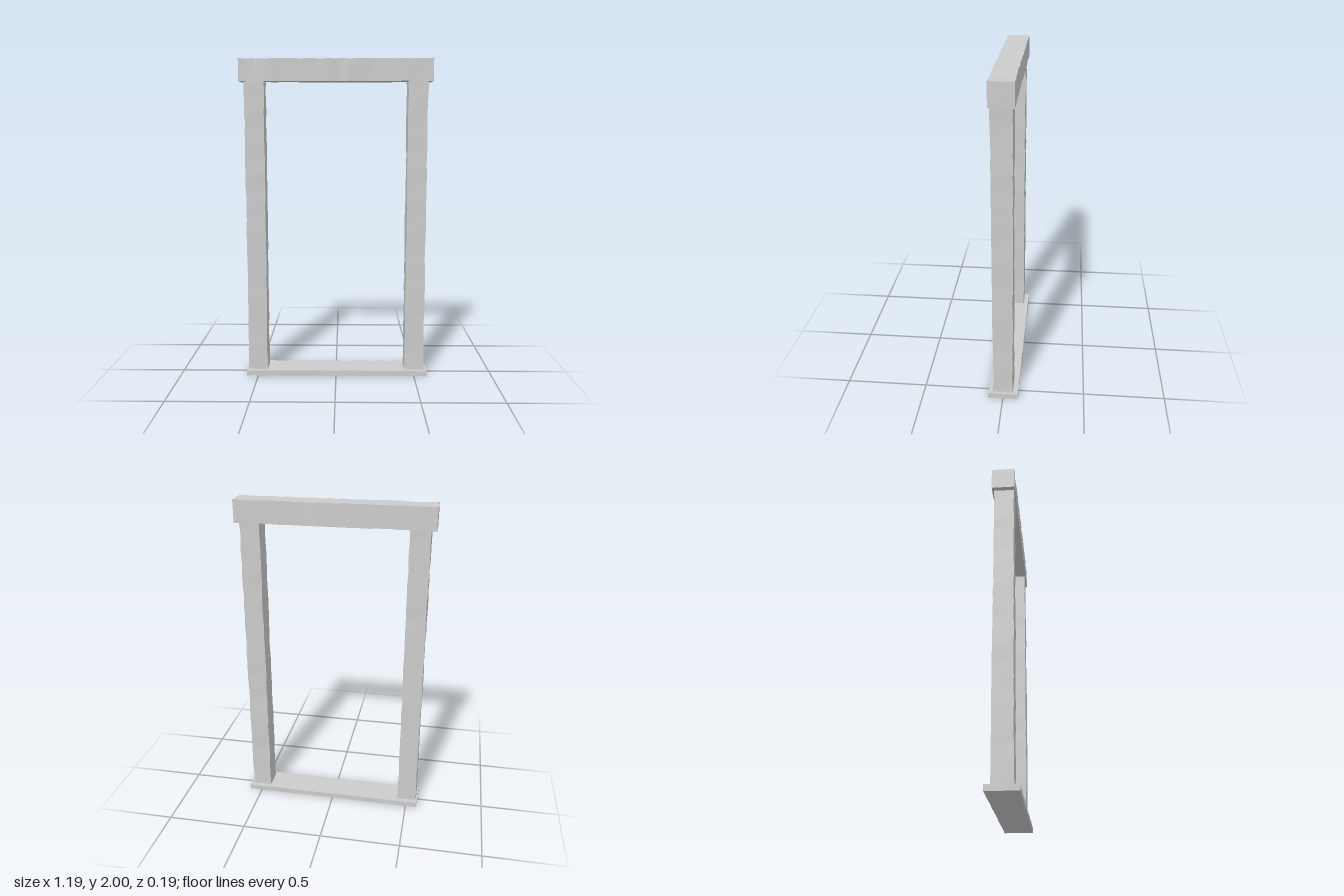
import * as THREE from 'three';

const material = new THREE.MeshStandardMaterial({ color: 0xcccccc });

// Repeatable noise in 0..1, the same for corners that share a position
function noise(x, y, z) {
  const s = Math.sin(x * 127.1 + y * 311.7 + z * 74.7) * 43758.5453;
  return s - Math.floor(s);
}

// A beam between two corners whose long edges are slightly worn inward
function timber(name, min, max, wear) {
  const size = max.map((v, i) => v - min[i]);
  const centre = max.map((v, i) => (v + min[i]) / 2);
  const long = size.indexOf(Math.max(...size));
  const segments = [1, 1, 1];
  segments[long] = 28;
  const geometry = new THREE.BoxGeometry(...size, ...segments);
  const pos = geometry.attributes.position;
  for (let i = 0; i < pos.count; i++) {
    const p = [pos.getX(i), pos.getY(i), pos.getZ(i)];
    // Keep the end corners crisp, nudge the rest of each edge
    if (Math.abs(p[long]) < size[long] / 2 - 1e-4) {
      const key = p.map((v, k) => Math.round((v + centre[k]) * 1000) / 1000);
      for (let k = 0; k < 3; k++) {
        if (k === long) continue;
        const n = noise(key[0] + k, key[1], key[2]);
        p[k] -= Math.sign(p[k]) * wear * n * n;
      }
    }
    pos.setXYZ(i, ...p);
  }
  geometry.computeVertexNormals();
  const mesh = new THREE.Mesh(geometry, material);
  mesh.name = name;
  mesh.position.set(...centre);
  return mesh;
}

export function createModel() {
  const group = new THREE.Group();
  group.name = 'doorFrame';

  // Flat threshold board on the ground
  group.add(timber('threshold', [-0.573, 0, -0.094], [0.581, 0.035, 0.092], 0.003));

  // Two square posts, let slightly into the boards above and below
  for (const [name, x] of [['leftPost', 0.502], ['rightPost', -0.502]]) {
    group.add(timber(name, [x - 0.062, 0.03, -0.061], [x + 0.062, 1.87, 0.062], 0.005));
  }

  // Heavy lintel overhanging the posts
  group.add(timber('lintel', [-0.594, 1.862, -0.072], [0.592, 2, 0.069], 0.004));

  return group;
}
